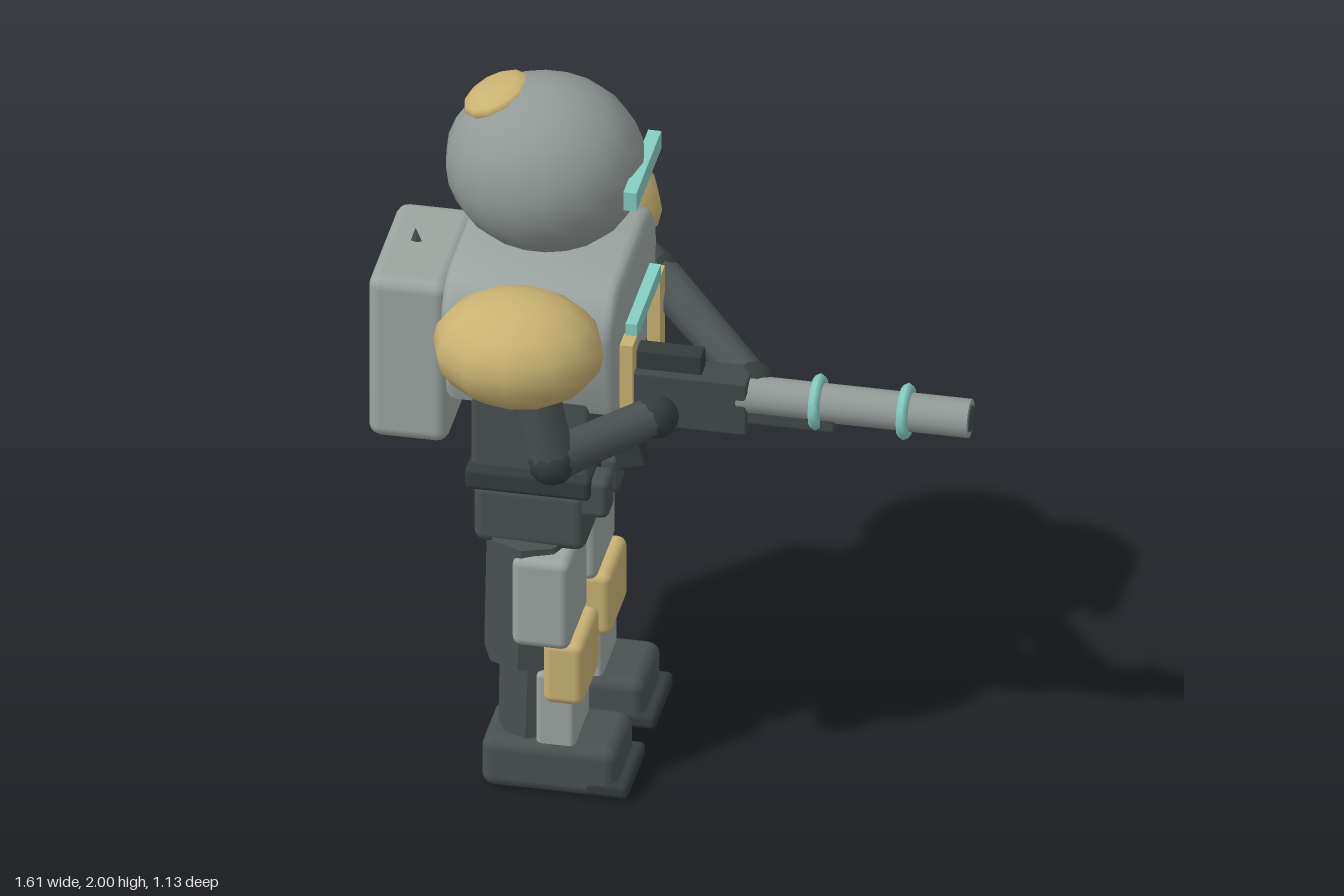
import * as THREE from 'three';
import { RoundedBoxGeometry } from 'three/addons/geometries/RoundedBoxGeometry.js';
import { toCreasedNormals } from 'three/addons/utils/BufferGeometryUtils.js';

const material = (name, color) => {
  const m = new THREE.MeshStandardMaterial({ color });
  m.name = name;
  return m;
};

export function createModel() {
  const armour = material('pale grey armour', 0x9ca5a1);
  const helmetGrey = material('helmet grey', 0x929a98);
  const cloth = material('dark grey cloth', 0x4a5151);
  const black = material('charcoal', 0x343b3b);
  const gunGrey = material('gun grey', 0x424949);
  const tan = material('tan', 0xc9b273);
  const teal = material('teal', 0x86cdc3);

  const root = new THREE.Group();
  root.name = 'armouredSoldier';

  const add = (name, geometry, mat, parent = root) => {
    const mesh = new THREE.Mesh(geometry, mat);
    mesh.name = name;
    parent.add(mesh);
    return mesh;
  };
  // Box given by its [min, max] ranges; r rounds the edges
  const box = (name, mat, [x0, x1], [y0, y1], [z0, z1], r = 0, parent = root) => {
    const s = [x1 - x0, y1 - y0, z1 - z0];
    const g = r ? new RoundedBoxGeometry(...s, 2, r) : new THREE.BoxGeometry(...s);
    const mesh = add(name, g, mat, parent);
    mesh.position.set((x0 + x1) / 2, (y0 + y1) / 2, (z0 + z1) / 2);
    return mesh;
  };
  const ellipsoid = (name, mat, centre, radii, w = 14, h = 10, parent = root) => {
    const mesh = add(name, new THREE.SphereGeometry(1, w, h), mat, parent);
    mesh.position.set(...centre);
    mesh.scale.set(...radii);
    return mesh;
  };
  // Tapered cylinder running from a to b
  const limb = (name, mat, a, b, ra, rb, sides = 10, parent = root) => {
    const p = new THREE.Vector3(...a), q = new THREE.Vector3(...b);
    const d = q.clone().sub(p);
    const g = toCreasedNormals(new THREE.CylinderGeometry(rb, ra, d.length(), sides), 0.75);
    const mesh = add(name, g, mat, parent);
    mesh.position.copy(p).add(q).multiplyScalar(0.5);
    mesh.quaternion.setFromUnitVectors(new THREE.Vector3(0, 1, 0), d.normalize());
    return mesh;
  };

  // Head
  ellipsoid('helmet', helmetGrey, [-0.365, 1.76, 0], [0.265, 0.24, 0.238], 18, 14);
  ellipsoid('helmetPatch', tan, [-0.495, 1.948, 0], [0.095, 0.035, 0.105], 12, 8).rotation.z = 0.42;
  box('visor', teal, [-0.125, -0.09], [1.735, 1.79], [-0.16, 0.16]);

  // Chest: cross-section in z and y, extruded from back to front
  const half = [[0.195, 1.165], [0.262, 1.39], [0.25, 1.44], [0.215, 1.485], [0.17, 1.5]];
  const outline = [...half, ...half.map(([z, y]) => [-z, y]).reverse()];
  const chestShape = new THREE.Shape(outline.map(([z, y]) => new THREE.Vector2(z, y)));
  const chestGeo = new THREE.ExtrudeGeometry(chestShape, {
    depth: 0.405, bevelEnabled: true, bevelThickness: 0.03, bevelSize: 0.028, bevelSegments: 3,
  });
  const chest = add('chest', toCreasedNormals(chestGeo, 0.7), armour);
  chest.rotation.y = Math.PI / 2;
  chest.position.x = -0.56;
  box('chestBar', teal, [-0.12, -0.09], [1.34, 1.385], [-0.155, 0.155]);

  // Waist
  box('abdomen', cloth, [-0.52, -0.2], [0.93, 1.18], [-0.225, 0.225], 0.02);
  box('belt', black, [-0.53, -0.195], [0.885, 0.95], [-0.255, 0.255], 0.015);
  box('pelvis', cloth, [-0.51, -0.21], [0.72, 0.9], [-0.245, 0.245], 0.03);
  for (const z of [-0.07, 0.06, 0.19])
    box('pouch', cloth, [-0.24, -0.15], [0.825, 0.94], [z - 0.047, z + 0.047], 0.02);

  // Backpack with two small spikes
  box('backpack', armour, [-0.8, -0.585], [0.98, 1.47], [-0.205, 0.205], 0.035);
  limb('backpackSpike', cloth, [-0.71, 1.45, -0.005], [-0.712, 1.51, 0], 0.022, 0.001, 4).scale.z = 0.4;
  limb('backpackSpike', cloth, [-0.78, 1.34, -0.09], [-0.805, 1.345, -0.09], 0.018, 0.001, 4);

  // Parts repeated on both sides
  for (const s of [1, -1]) {
    const side = s > 0 ? 'right' : 'left';
    const span = (a, b) => (s > 0 ? [a, b] : [-b, -a]);
    ellipsoid(side + 'ShoulderPad', tan, [-0.36, 1.415, s * 0.375], [0.228, 0.153, 0.19], 12, 10);
    box(side + 'Strap', tan, [-0.125, -0.09], [1.1, 1.35], span(0.145, 0.207));

    const leg = new THREE.Group();
    leg.name = side + 'Leg';
    root.add(leg);
    limb('thigh', cloth, [-0.38, 0.37, s * 0.178], [-0.37, 0.74, s * 0.178], 0.112, 0.115, 8, leg);
    box('thighPlate', armour, [-0.395, -0.24], [0.45, 0.72], span(0.052, 0.305), 0.025, leg);
    box('kneePad', tan, [-0.315, -0.205], [0.275, 0.465], span(0.068, 0.29), 0.025, leg);
    limb('shin', cloth, [-0.365, 0.1, s * 0.178], [-0.355, 0.4, s * 0.178], 0.09, 0.095, 8, leg);
    box('shinPlate', armour, [-0.335, -0.23], [0.12, 0.36], span(0.08, 0.277), 0.015, leg);
    box('boot', cloth, [-0.48, -0.115], [0.003, 0.153], span(0.062, 0.295), 0.035, leg);
    box('toeCap', black, [-0.2, -0.085], [0.012, 0.055], span(0.058, 0.298), 0.015, leg);
  }

  // Arms: shoulder, elbow, hand
  const arms = {
    rightArm: [[-0.34, 1.4, 0.38], [-0.265, 1.095, 0.4], [-0.03, 1.14, 0.19]],
    leftArm: [[-0.34, 1.38, -0.38], [-0.13, 1.245, -0.325], [0.215, 1.205, 0.1]],
  };
  for (const [name, [shoulder, elbow, hand]] of Object.entries(arms)) {
    const arm = new THREE.Group();
    arm.name = name;
    root.add(arm);
    limb('upperArm', cloth, shoulder, elbow, 0.068, 0.06, 10, arm);
    ellipsoid('elbow', black, elbow, [0.066, 0.066, 0.066], 10, 8, arm);
    limb('forearm', cloth, elbow, hand, 0.06, 0.052, 10, arm);
    ellipsoid('hand', black, hand, [0.06, 0.065, 0.06], 10, 8, arm);
  }

  // Rifle
  const rifle = new THREE.Group();
  rifle.name = 'rifle';
  root.add(rifle);
  box('receiver', gunGrey, [-0.12, 0.21], [1.1, 1.26], [0.088, 0.19], 0.008, rifle);
  box('topRail', black, [-0.09, 0.085], [1.25, 1.315], [0.11, 0.167], 0.006, rifle);
  box('foreStock', gunGrey, [0.19, 0.445], [1.128, 1.18], [0.1, 0.18], 0.012, rifle);
  const grip = box('grip', black, [-0.16, -0.085], [0.95, 1.13], [0.112, 0.172], 0.006, rifle);
  grip.rotation.z = 0.27;
  limb('barrel', helmetGrey, [0.18, 1.2, 0.14], [0.797, 1.2, 0.14], 0.052, 0.052, 14, rifle);
  limb('muzzle', gunGrey, [0.794, 1.2, 0.14], [0.8, 1.2, 0.14], 0.036, 0.036, 14, rifle);
  for (const x of [0.39, 0.625]) {
    const ring = add('barrelRing', new THREE.TorusGeometry(0.06, 0.016, 6, 12), teal, rifle);
    ring.position.set(x, 1.2, 0.14);
    ring.rotation.y = Math.PI / 2;
  }
  return root;
}
